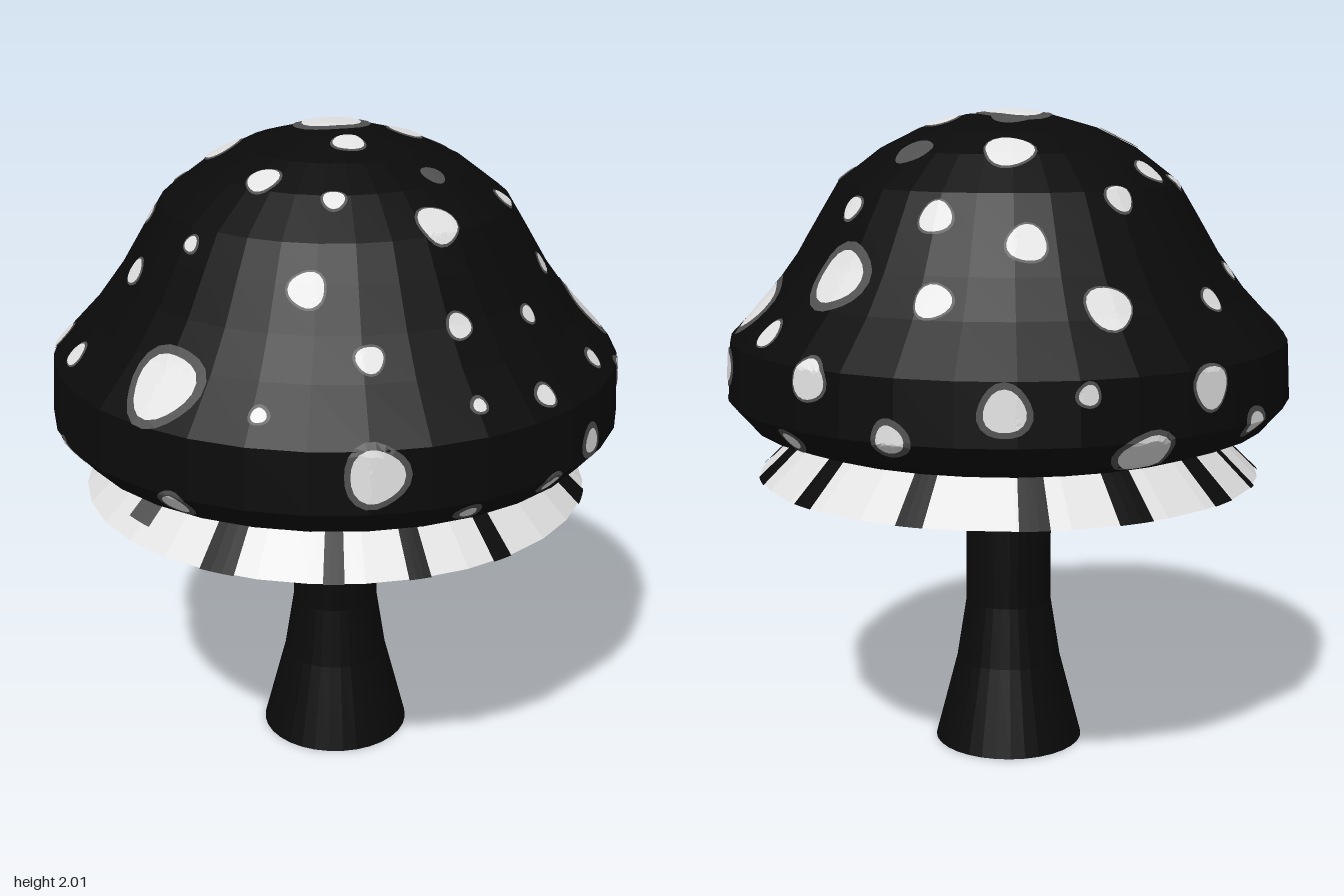
import * as THREE from 'three';
import { mergeGeometries } from 'three/addons/utils/BufferGeometryUtils.js';

const SIDES = 32;
const RAD = Math.PI / 180;

function makeMaterial(name, color) {
  const m = new THREE.MeshStandardMaterial({ color, flatShading: true, side: THREE.DoubleSide });
  m.name = name;
  return m;
}

// Cap outline as [radius, height], from the tucked lower lip to the crown
const CAP = [
  [0.62, 1.04], [0.69, 1.02], [0.8, 1.06], [0.87, 1.14], [0.86, 1.32], [0.73, 1.46],
  [0.65, 1.57], [0.58, 1.69], [0.52, 1.79], [0.39, 1.89], [0.27, 1.95], [0.13, 1.99], [0, 2],
];
const GILLS = [[0.78, 0.89], [0.52, 1.14], [0.24, 1.25], [0.13, 1.36]];
const STALK = [[0, 0], [0.235, 0], [0.165, 0.27], [0.135, 0.46], [0.135, 1.38]];

// Spots on the dome: [x, z, size]
const UPPER_SPOTS = [
  [-0.03, -0.05, 0.088], [-0.065, -0.37, 0.07], [-0.33, 0.06, 0.058], [0.185, -0.1, 0.05],
  [0.08, 0.14, 0.045], [-0.44, -0.16, 0.045], [-0.38, -0.375, 0.042], [-0.38, -0.6, 0.066],
  [0.09, -0.69, 0.052], [0.11, -0.55, 0.048], [-0.15, -0.58, 0.055], [-0.64, -0.32, 0.035],
  [-0.675, -0.05, 0.028], [-0.51, -0.05, 0.028], [-0.51, 0.195, 0.032], [-0.49, 0.38, 0.038],
  [-0.65, 0.47, 0.038], [-0.8, 0.23, 0.045], [-0.11, 0.34, 0.047], [0.11, 0.39, 0.03],
  [0.385, 0.31, 0.06], [0.48, 0.44, 0.036], [0.5, -0.04, 0.032], [0.62, -0.04, 0.03],
  [0.63, 0.22, 0.026], [0.385, -0.4, 0.036], [0.71, -0.27, 0.088], [0.39, -0.54, 0.085],
  [0.605, -0.53, 0.047], [-0.28, 0.47, 0.023], [0.09, 0.58, 0.05], [0.28, 0.63, 0.038],
  [-0.28, 0.72, 0.1],
];
// Spots around the brim: [compass angle, height, size]
const LOWER_SPOTS = [
  [23.6, 1.25, 0.075], [1.5, 1.39, 0.022], [45.5, 1.39, 0.02], [62, 1.37, 0.032], [85, 1.38, 0.028],
  [96, 1.29, 0.04], [114, 1.25, 0.042], [150, 1.29, 0.057], [74, 1.19, 0.036], [42, 1.1, 0.025],
  [61, 1.12, 0.03], [108, 1.11, 0.034], [143, 1.1, 0.032], [168, 1.15, 0.042], [189, 1.24, 0.058],
  [204, 1.28, 0.028], [216, 1.1, 0.077], [230, 1.27, 0.06], [244, 1.14, 0.035], [278, 1.21, 0.03],
  [-50, 1.11, 0.04], [-15, 1.11, 0.042],
];
// Faded spots with no pale centre: [x, z, size]
const FADED_SPOTS = [[0.225, -0.31, 0.06], [0.33, 0.14, 0.038], [-0.03, -0.14, 0.06]];

// Dark gill stripes: [compass angle, half width]
const STRIPES = [
  [-9, 4], [16, 2.2], [34, 2.4], [54, 2.4], [92, 4.2], [114, 4], [140, 3],
  [169, 3], [195, 3.2], [217, 4], [243, 3.5], [260, 1.6], [278, 1.6],
];

function lathe(points) {
  return new THREE.LatheGeometry(points.map(([r, y]) => new THREE.Vector2(r, y)), SIDES);
}

// Linear lookup along the cap outline, crown first: column 0 is radius, 1 is height
function lookUp(value, from, to) {
  let i = CAP.length - 1;
  while (i > 1 && (value - CAP[i][from]) * (value - CAP[i - 1][from]) > 0) i--;
  const a = CAP[i], b = CAP[i - 1];
  return THREE.MathUtils.mapLinear(value, a[from], b[from], a[to], b[to]);
}

// Rounded patch laid on the cap by casting rays outward from inside it
function makeSpot(cap, angle, y, size, lift, seed) {
  const centre = new THREE.Vector3(0, 1.25, 0);
  const onCap = (h) => {
    const r = lookUp(h, 1, 0);
    return new THREE.Vector3(r * Math.sin(angle), h, r * Math.cos(angle));
  };
  const middle = onCap(y);
  const across = new THREE.Vector3(Math.cos(angle), 0, -Math.sin(angle));
  const up = onCap(Math.min(y + 0.015, 2)).sub(onCap(y - 0.015)).normalize();
  const ray = new THREE.Raycaster();
  const rings = size > 0.04 ? 4 : 2, steps = 20;
  const positions = [], index = [];
  for (let i = 0; i <= rings; i++) {
    for (let j = 0; j < steps; j++) {
      const t = (j / steps) * Math.PI * 2;
      const k = size * (i / rings) * (1 + 0.06 * Math.sin(3 * t + seed));
      const p = middle.clone().addScaledVector(across, k * Math.cos(t)).addScaledVector(up, k * Math.sin(t));
      const direction = p.clone().sub(centre).normalize();
      ray.set(centre, direction);
      const hit = ray.intersectObject(cap)[0];
      const q = (hit ? hit.point : p).clone().addScaledVector(direction, lift);
      positions.push(q.x, q.y, q.z);
      if (i < rings) {
        const n = i * steps + j, m = i * steps + ((j + 1) % steps);
        index.push(n, n + steps, m + steps, n, m + steps, m);
      }
    }
  }
  const g = new THREE.BufferGeometry();
  g.setAttribute('position', new THREE.Float32BufferAttribute(positions, 3));
  g.setIndex(index);
  g.computeVertexNormals();
  return g;
}

export function createModel() {
  const black = makeMaterial('black', 0x0a0a0a);
  const grey = makeMaterial('grey', 0x505050);
  const white = makeMaterial('white', 0xe2e2e2);
  const model = new THREE.Group();
  model.name = 'mushroom';
  const add = (name, geometry, material) => {
    const mesh = new THREE.Mesh(geometry, material);
    mesh.name = name;
    model.add(mesh);
    return mesh;
  };

  // Main bodies
  add('stalk', lathe(STALK), black);
  const cap = add('cap', lathe(CAP), black);
  add('gills', lathe(GILLS), white);

  // Spots: a grey border patch under a pale patch, wider on big and brim spots
  const borders = [], centres = [];
  const addSpot = (angle, y, size, border) => {
    const seed = borders.length;
    borders.push(makeSpot(cap, angle, y, size + border, 0.004, seed));
    centres.push(makeSpot(cap, angle, y, size, 0.007, seed));
  };
  const dome = (x, z) => [Math.atan2(x, z), lookUp(Math.hypot(x, z), 0, 1)];
  for (const [x, z, size] of UPPER_SPOTS) addSpot(...dome(x, z), size, size > 0.08 ? 0.028 : 0.007);
  for (const [deg, y, size] of LOWER_SPOTS) addSpot(deg * RAD, y, size, y < 1.27 ? 0.018 : 0.009);
  for (const [x, z, size] of FADED_SPOTS) borders.push(makeSpot(cap, ...dome(x, z), size, 0.003, 1));
  add('spotBorders', mergeGeometries(borders), grey);
  add('spotCentres', mergeGeometries(centres), white);

  // Gill stripes, laid on both faces of the skirt
  const [[rimR, rimY], [innerR, innerY]] = GILLS;
  const strip = (outer, inner, shift, deg, half) => {
    const ends = [outer, inner].map((r) => new THREE.Vector2(
      r + shift, THREE.MathUtils.mapLinear(r, rimR, innerR, rimY, innerY)));
    return new THREE.LatheGeometry(ends, 3, (deg - half) * RAD, 2 * half * RAD);
  };
  const stripes = STRIPES.flatMap(([deg, half]) =>
    [0.003, -0.007].map((shift) => strip(rimR, 0.585, shift, deg, half)));
  add('gillStripes', mergeGeometries(stripes), black);

  // Ragged grey notch hanging under the cap lip
  add('gillNotch', strip(0.735, 0.64, 0.003, -35, 4), grey);
  return model;
}
